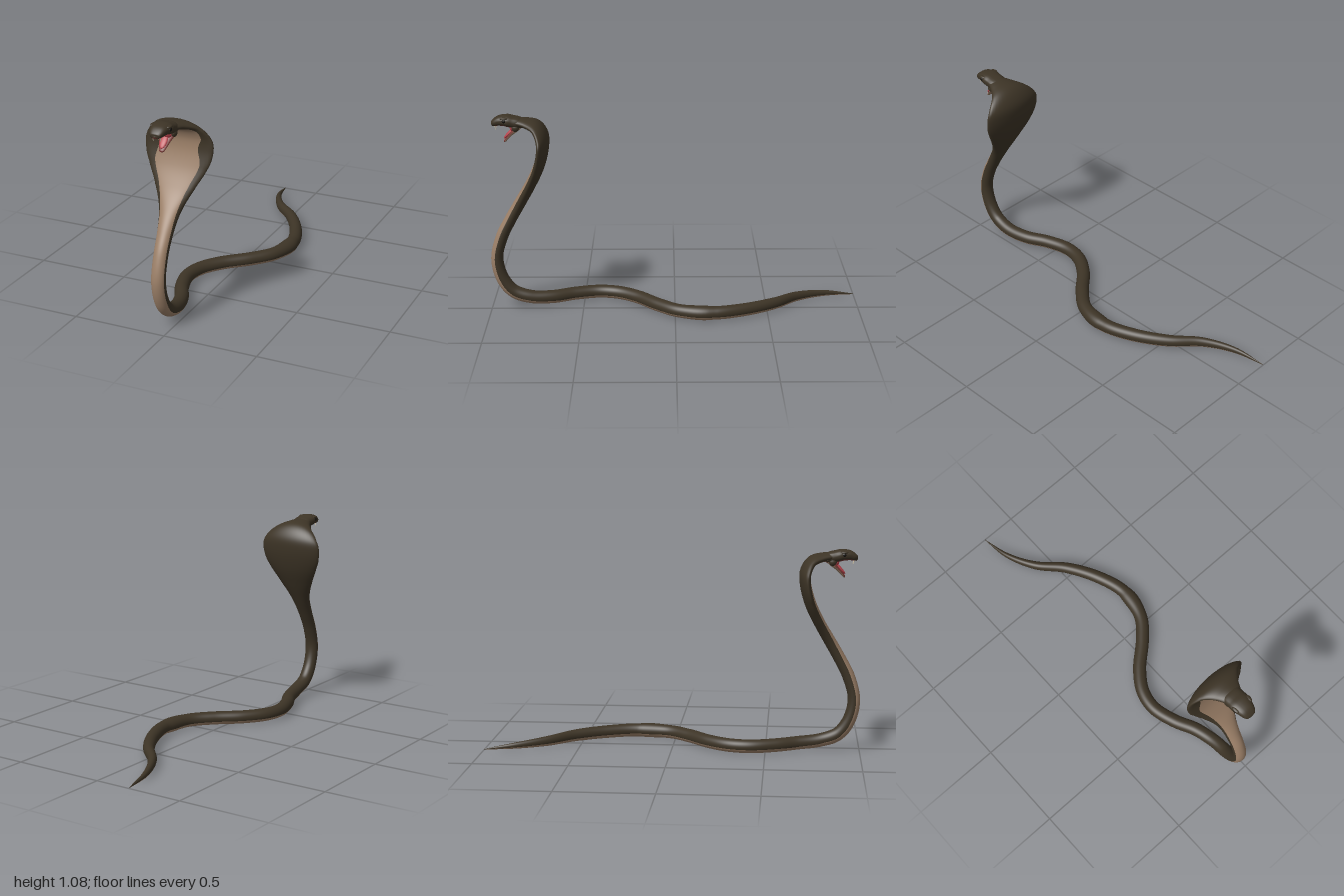
import * as THREE from 'three';

const mat = (name, color) => {
  const m = new THREE.MeshStandardMaterial({ color });
  m.name = name;
  return m;
};
const scales = mat('dark scales', 0x3d3426);
const belly = mat('tan belly', 0x9c8068);
const mouth = mat('red mouth', 0xb8434c);
const flesh = mat('dark flesh', 0x7a3a36);
const tooth = mat('ivory tooth', 0xd9cdb4);
const eyeBlack = mat('eye black', 0x14110d);

const CX = -0.04; // the head and neck stand slightly off centre

// Sweeps an oval along a path. dims rows: half width, half thickness, belly half angle in degrees.
// The first material covers the belly side, the second the back.
function sweep(name, path, dims, mats, { rings = 40, under = 14, over = 18, curl = 0, power = 1 } = {}) {
  const curve = new THREE.CatmullRomCurve3(path.map(p => new THREE.Vector3(...p)));
  const size = new THREE.CatmullRomCurve3(dims.map(p => new THREE.Vector3(p[0], p[1], p[2] / 100)));
  const n = under + over, pos = [], lower = [], upper = [];
  const soften = v => Math.sign(v) * Math.abs(v) ** power;
  for (let i = 0; i <= rings; i++) {
    const t = i / rings, c = curve.getPoint(t), T = curve.getTangent(t), d = size.getPoint(t);
    const w = THREE.MathUtils.smoothstep(c.y, 0.045, 0.1);
    const S = new THREE.Vector3(Math.abs(T.z), 0, -T.x).normalize().lerp(new THREE.Vector3(1, 0, 0), w);
    S.addScaledVector(T, -S.dot(T)).normalize();
    const N = S.clone().cross(T);
    const b = THREE.MathUtils.degToRad(d.z * 100);
    const hw = Math.max(d.x, 0.0005), ht = Math.max(d.y, 0.0005);
    for (let k = 0; k < n; k++) {
      const a = k < under ? -b + 2 * b * k / under : b + (2 * Math.PI - 2 * b) * (k - under) / over;
      const s = soften(Math.sin(a));
      const forward = ht * soften(Math.cos(a)) + curl * Math.max(0, hw - 0.04) * s * s;
      const p = c.clone().addScaledVector(S, hw * s).addScaledVector(N, forward);
      pos.push(p.x, p.y, p.z);
      if (i < rings) {
        const k2 = (k + 1) % n, A = i * n + k, B = i * n + k2;
        (k < under ? lower : upper).push(A, B, A + n, B, B + n, A + n);
      }
    }
  }
  const g = new THREE.BufferGeometry();
  g.setAttribute('position', new THREE.Float32BufferAttribute(pos, 3));
  g.setIndex([...lower, ...upper]);
  g.addGroup(0, lower.length, 0);
  g.addGroup(lower.length, upper.length, 1);
  g.computeVertexNormals();
  const mesh = new THREE.Mesh(g, mats);
  mesh.name = name;
  return mesh;
}

function ball(name, material, x, y, z, sx, sy, sz, tilt = 0) {
  const m = new THREE.Mesh(new THREE.SphereGeometry(1, 20, 14), material);
  m.name = name;
  m.position.set(x, y, z);
  m.scale.set(sx, sy, sz);
  m.rotation.x = tilt;
  return m;
}

export function createModel() {
  const group = new THREE.Group();
  group.name = 'rearing hooded snake';

  // Body from tail tip along the ground, up the neck and over the hood
  const bodyPath = [
    [-0.2, 0.006, -1], [-0.17, 0.023, -0.83], [-0.09, 0.033, -0.67], [0.03, 0.038, -0.54],
    [0.13, 0.04, -0.37], [0.18, 0.041, -0.2], [0.15, 0.041, -0.03], [0.06, 0.041, 0.085],
    [-0.065, 0.041, 0.2], [-0.14, 0.041, 0.31], [-0.16, 0.041, 0.42], [-0.125, 0.042, 0.555],
    [-0.07, 0.044, 0.67], [-0.042, 0.055, 0.79], [CX, 0.09, 0.885], [CX, 0.165, 0.942],
    [CX, 0.28, 0.967], [CX, 0.4, 0.938], [CX, 0.5, 0.888], [CX, 0.6, 0.83],
    [CX, 0.7, 0.772], [CX, 0.8, 0.725], [CX, 0.9, 0.7], [CX, 0.965, 0.702],
    [CX, 1.018, 0.735], [CX, 1.037, 0.79], [CX, 1.043, 0.85],
  ];
  const bodySize = [
    [0.001, 0.002, 65], [0.014, 0.017, 65], [0.023, 0.027, 66], [0.03, 0.032, 66],
    [0.035, 0.035, 68], [0.037, 0.036, 68], [0.037, 0.036, 68], [0.037, 0.036, 68],
    [0.037, 0.036, 68], [0.037, 0.036, 68], [0.037, 0.036, 68], [0.037, 0.036, 68],
    [0.037, 0.036, 68], [0.037, 0.036, 70], [0.037, 0.036, 70], [0.037, 0.035, 72],
    [0.037, 0.033, 72], [0.037, 0.033, 70], [0.041, 0.032, 64], [0.058, 0.031, 55],
    [0.105, 0.029, 47], [0.158, 0.029, 48], [0.184, 0.029, 35], [0.17, 0.03, 46],
    [0.125, 0.027, 54], [0.08, 0.024, 54], [0.048, 0.022, 50],
  ];
  group.add(sweep('body and hood', bodyPath, bodySize, [belly, scales],
    { rings: 234, under: 20, over: 24, curl: 0.12 }));

  // Upper head with the roof of the mouth on its underside
  group.add(sweep('upper head',
    [[CX, 1.034, 0.785], [CX, 1.036, 0.82], [CX, 1.043, 0.86], [CX, 1.05, 0.895],
      [CX, 1.048, 0.93], [CX, 1.038, 0.955], [CX, 1.031, 0.968], [CX, 1.03, 0.973]],
    [[0.035, 0.018, 40], [0.05, 0.028, 40], [0.054, 0.031, 45], [0.053, 0.03, 50],
      [0.045, 0.026, 50], [0.036, 0.019, 50], [0.024, 0.012, 50], [0.001, 0.001, 50]],
    [flesh, scales], { rings: 42, power: 0.8 }));

  // Open lower jaw, tan outside and red inside
  group.add(sweep('lower jaw',
    [[CX, 1.022, 0.82], [CX, 1.0, 0.845], [CX, 0.978, 0.868], [CX, 0.953, 0.889],
      [CX, 0.936, 0.903], [CX, 0.931, 0.907]],
    [[0.04, 0.016, 95], [0.04, 0.015, 95], [0.031, 0.011, 95], [0.021, 0.008, 95],
      [0.013, 0.006, 95], [0.001, 0.001, 95]],
    [belly, flesh], { rings: 30 }));

  // Throat and tongue
  group.add(ball('throat', mouth, CX, 1.012, 0.862, 0.034, 0.024, 0.014, 0.3));
  group.add(ball('tongue', mouth, CX, 0.981, 0.879, 0.02, 0.042, 0.008, -0.75));

  // Eyes, brows, fangs and lower teeth in mirrored pairs
  for (const side of [-1, 1]) {
    group.add(ball('eye', eyeBlack, CX + side * 0.048, 1.053, 0.9, 0.007, 0.01, 0.011));
    group.add(ball('brow', scales, CX + side * 0.043, 1.066, 0.9, 0.012, 0.007, 0.022));
    group.add(ball('jaw corner', scales, CX + side * 0.038, 1.015, 0.842, 0.014, 0.02, 0.02));
    for (const [name, x, y, z, h] of [['fang', 0.02, 1.011, 0.949, 0.026], ['lower tooth', 0.009, 0.947, 0.905, 0.012]]) {
      const m = new THREE.Mesh(new THREE.ConeGeometry(h * 0.14, h, 10), tooth);
      m.name = name;
      m.position.set(CX + side * x, y, z);
      m.rotation.x = name === 'fang' ? Math.PI + 0.25 : 0.5;
      group.add(m);
    }
  }
  return group;
}
